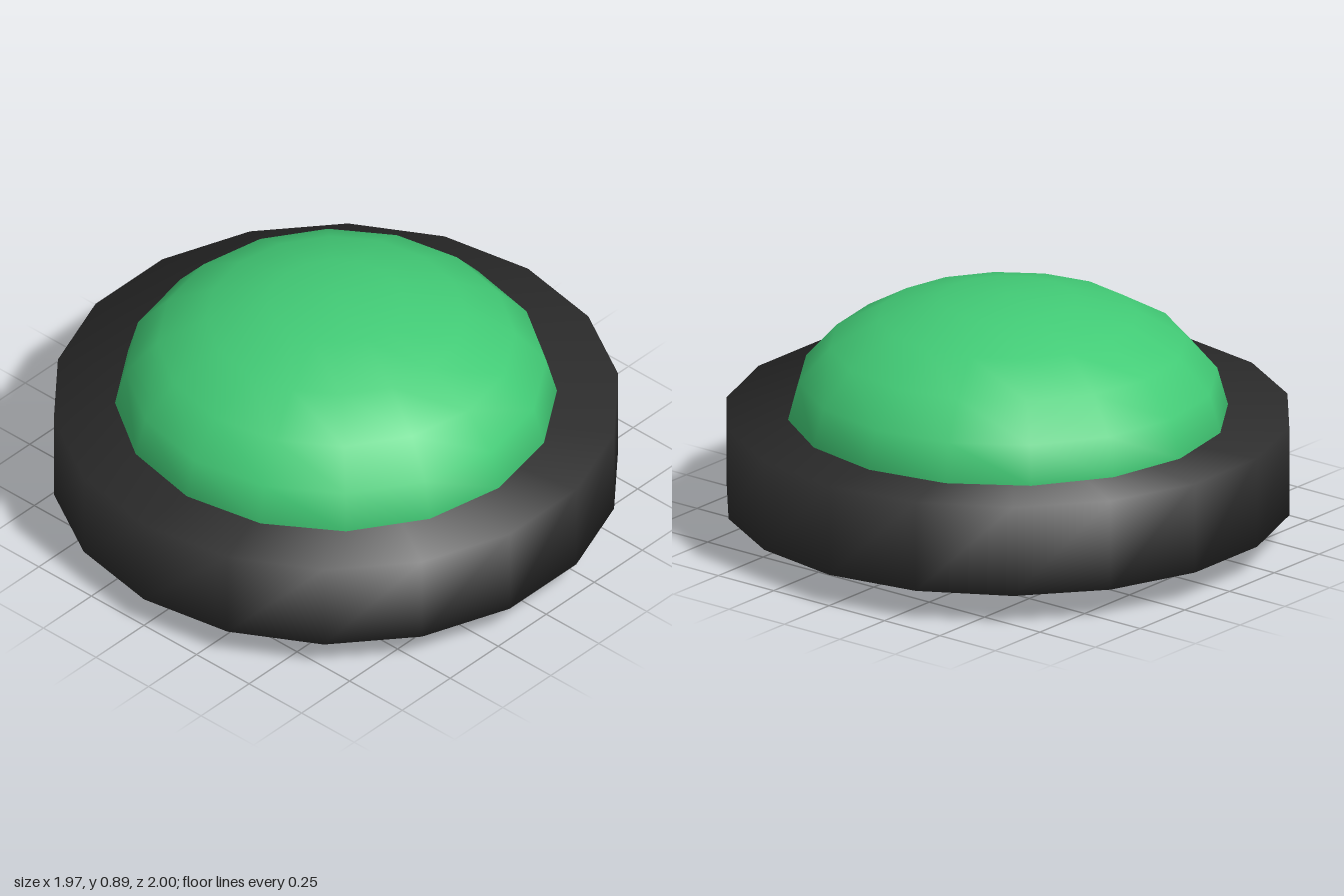
import * as THREE from 'three';

export function createModel() {
  const model = new THREE.Group();
  model.name = 'domeButton';

  const green = new THREE.MeshStandardMaterial({ color: 0x42cb76 });
  green.name = 'green';
  const black = new THREE.MeshStandardMaterial({ color: 0x2e2e2e });
  black.name = 'black';

  // Flattened ball that shows above and below the rim
  const domeGeometry = new THREE.SphereGeometry(1, 16, 10);
  domeGeometry.scale(0.777, 0.445, 0.777);
  const dome = new THREE.Mesh(domeGeometry, green);
  dome.name = 'dome';
  dome.position.y = 0.445;

  // Eighteen-sided rim, shaded smoothly from the wall over onto both caps
  const height = 0.33;
  const rimGeometry = new THREE.CylinderGeometry(1, 1, height, 18);
  const position = rimGeometry.attributes.position;
  const normal = rimGeometry.attributes.normal;
  const slope = 0.9;
  const length = Math.hypot(1, slope);
  for (let i = 0; i < position.count; i++) {
    normal.setXYZ(
      i,
      position.getX(i) / length,
      (Math.sign(position.getY(i)) * slope) / length,
      position.getZ(i) / length
    );
  }
  const rim = new THREE.Mesh(rimGeometry, black);
  rim.name = 'rim';
  rim.position.y = 0.115 + height / 2;

  model.add(dome, rim);
  return model;
}
